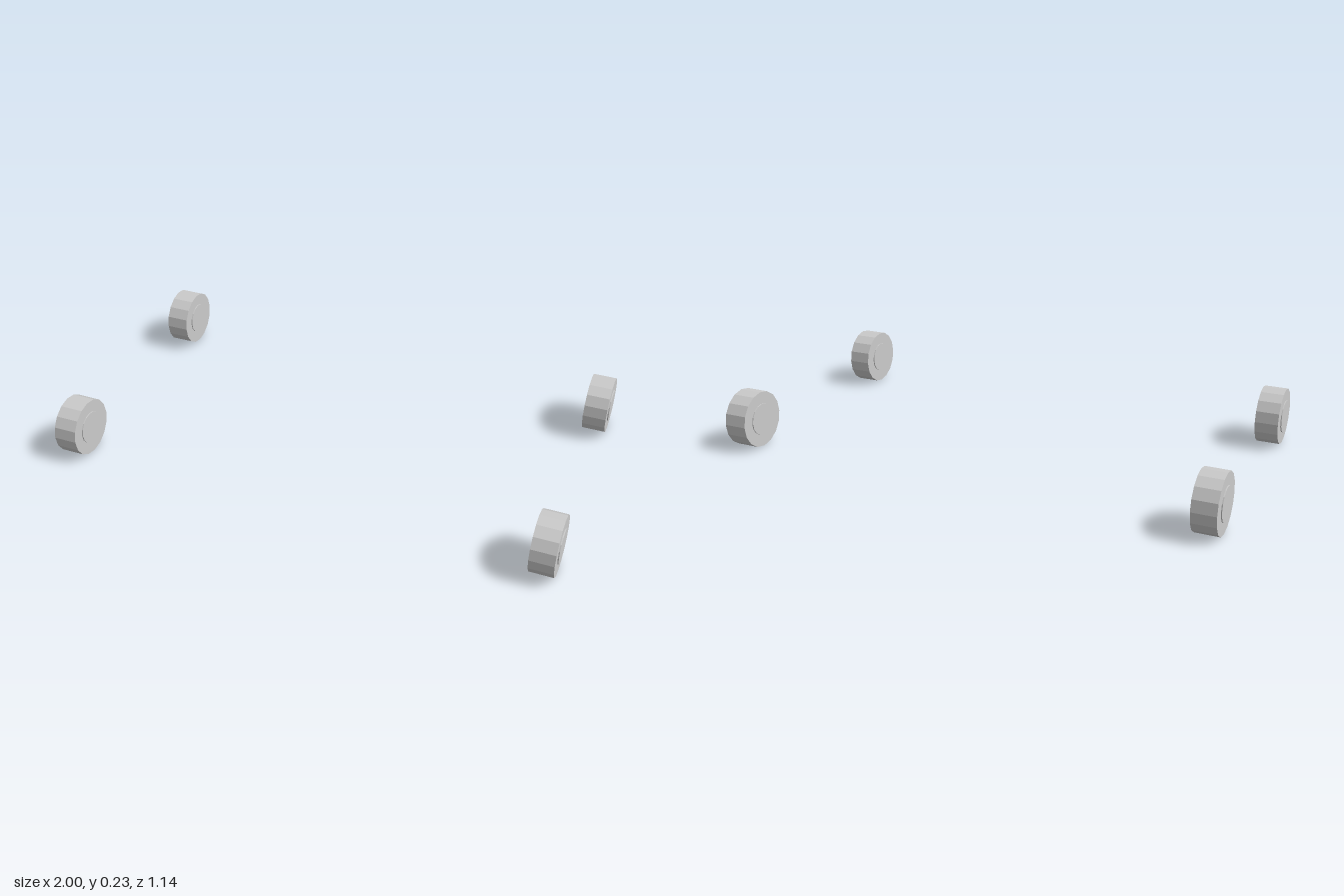
import * as THREE from 'three';

const RADIUS = 0.114;
const HUB_RADIUS = 0.065;
const TRACK = 0.95; // wheel centre distance from x = 0
const AXLE = 0.457; // axle distance from z = 0

const material = new THREE.MeshStandardMaterial({ color: 0xcccccc, flatShading: true });

// Sixteen-sided disc lying along the x axis
function disc(name, radius, width) {
  const geometry = new THREE.CylinderGeometry(radius, radius, width, 16);
  geometry.rotateZ(Math.PI / 2);
  const mesh = new THREE.Mesh(geometry, material);
  mesh.name = name;
  return mesh;
}

// Tyre with a hub standing slightly proud on both faces
function wheel(name, x, z) {
  const group = new THREE.Group();
  group.name = name;
  group.add(disc('tyre', RADIUS, 0.092), disc('hub', HUB_RADIUS, 0.1));
  group.position.set(x, RADIUS, z);
  return group;
}

export function createModel() {
  const model = new THREE.Group();
  model.name = 'wheelSet';
  for (const [end, z] of [['front', AXLE], ['rear', -AXLE]]) {
    model.add(wheel(`${end}LeftWheel`, TRACK, z), wheel(`${end}RightWheel`, -TRACK, z));
  }
  return model;
}
